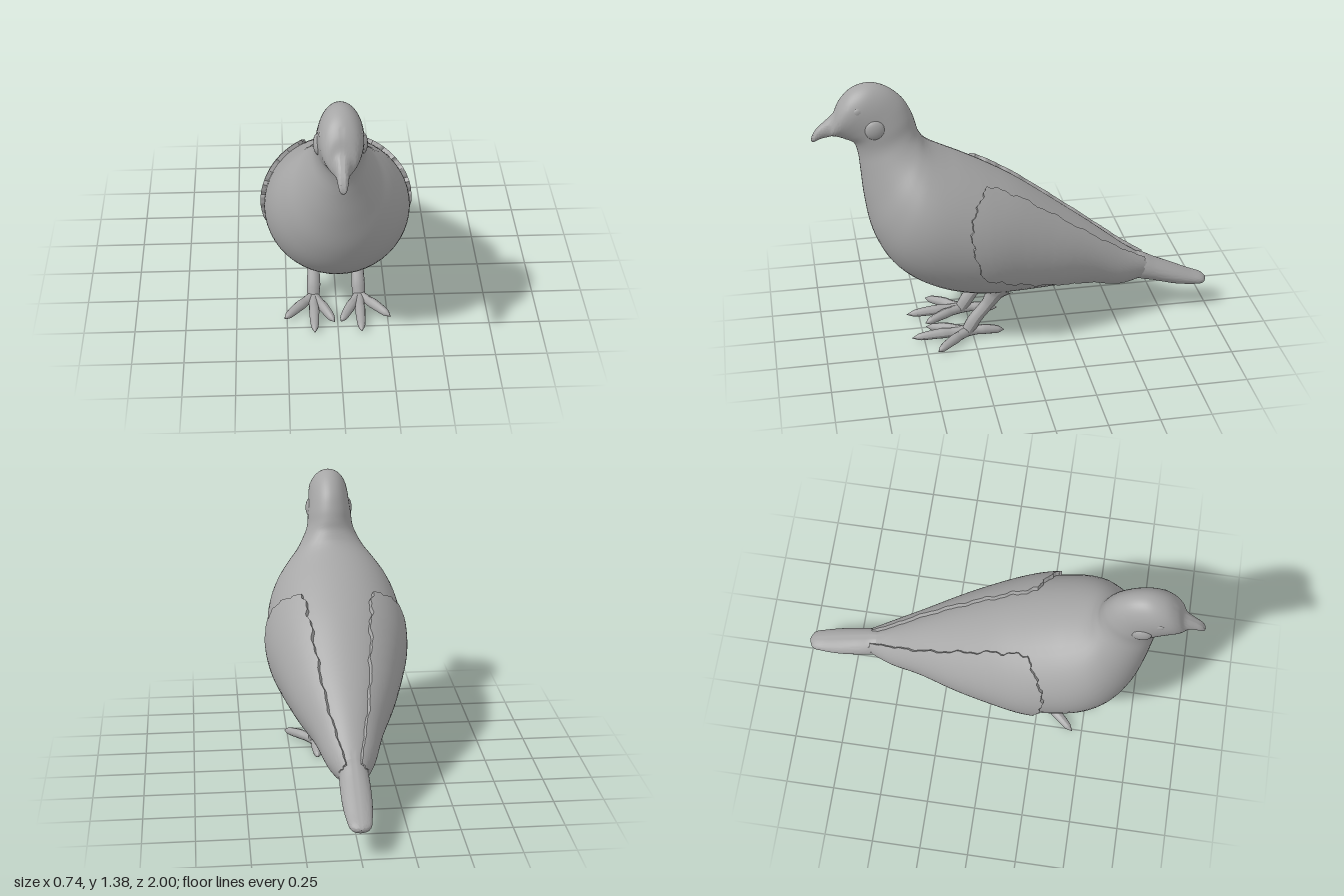
import * as THREE from 'three';
import { toCreasedNormals } from 'three/addons/utils/BufferGeometryUtils.js';

const plumage = new THREE.MeshStandardMaterial({ color: 0xa6a6a6 });
plumage.name = 'plainGrey';

// Stations: [top z, top y, bottom z, bottom y, half width], tail end to beak tip
const BODY = [
  [-0.67, 0.32, -0.65, 0.23, 0.045],
  [-0.55, 0.40, -0.52, 0.21, 0.10],
  [-0.40, 0.52, -0.35, 0.235, 0.155],
  [-0.20, 0.67, -0.15, 0.235, 0.235],
  [0.00, 0.815, 0.05, 0.235, 0.30],
  [0.15, 0.905, 0.22, 0.245, 0.34],
  [0.27, 0.97, 0.40, 0.29, 0.35],
  [0.36, 1.015, 0.55, 0.37, 0.34],
  [0.42, 1.05, 0.66, 0.48, 0.307],
  [0.455, 1.08, 0.73, 0.63, 0.252],
  [0.475, 1.11, 0.76, 0.80, 0.19],
  [0.49, 1.14, 0.772, 0.95, 0.145],
  [0.50, 1.18, 0.78, 1.04, 0.12],
  [0.52, 1.24, 0.80, 1.10, 0.113],
  [0.56, 1.31, 0.845, 1.125, 0.107],
  [0.63, 1.37, 0.87, 1.135, 0.103],
  [0.71, 1.395, 0.885, 1.14, 0.097],
  [0.79, 1.375, 0.895, 1.14, 0.085],
  [0.85, 1.32, 0.905, 1.14, 0.066],
  [0.885, 1.255, 0.92, 1.135, 0.042],
  [0.93, 1.215, 0.945, 1.13, 0.029],
  [0.97, 1.18, 0.968, 1.122, 0.023],
  [0.993, 1.145, 0.99, 1.112, 0.015],
  [1.0, 1.12, 1.0, 1.12, 0]
];

const TAIL = [
  [-0.52, 0.36, -0.50, 0.24, 0.05],
  [-0.64, 0.345, -0.62, 0.205, 0.068],
  [-0.72, 0.305, -0.71, 0.185, 0.072],
  [-0.82, 0.258, -0.82, 0.155, 0.07],
  [-0.91, 0.215, -0.92, 0.14, 0.06],
  [-0.975, 0.188, -0.98, 0.14, 0.045],
  [-1.0, 0.165, -1.0, 0.165, 0]
];

// Smooth interpolation between stations
function station(list, t) {
  const n = list.length - 1;
  const i = Math.min(Math.floor(t), n - 1);
  const f = t - i;
  const at = k => list[Math.max(0, Math.min(n, k))];
  return list[i].map((b, c) => {
    const a = at(i - 1)[c], d = at(i + 1)[c], e = at(i + 2)[c];
    return b + 0.5 * f * (d - a + f * (2 * a - 5 * b + 4 * d - e + f * (3 * (b - d) + e - a)));
  });
}

// Point on the oval section; angle 0 is the top, PI/2 the +x side
function surface(list, t, angle, lift = 0) {
  const [zt, yt, zb, yb, w] = station(list, t);
  const c = Math.cos(angle) / 2;
  const centre = new THREE.Vector3(0, (yt + yb) / 2, (zt + zb) / 2);
  const out = new THREE.Vector3(Math.max(w, 0) * Math.sin(angle), c * (yt - yb), c * (zt - zb));
  if (lift) out.setLength(out.length() + lift);
  return centre.add(out);
}

// Surface from a grid of points
function grid(rows, cols, point, flip = false) {
  const pos = [], index = [];
  for (let i = 0; i <= rows; i++) {
    for (let j = 0; j <= cols; j++) pos.push(...point(i, j).toArray());
  }
  for (let i = 0; i < rows; i++) {
    for (let j = 0; j < cols; j++) {
      const a = i * (cols + 1) + j, b = a + cols + 1;
      if (flip) index.push(a, a + 1, b, b, a + 1, b + 1);
      else index.push(a, b, a + 1, b, b + 1, a + 1);
    }
  }
  const g = new THREE.BufferGeometry();
  g.setAttribute('position', new THREE.Float32BufferAttribute(pos, 3));
  g.setIndex(index);
  return toCreasedNormals(g, 0.9);
}

function loft(list, reverse) {
  const rows = (list.length - 1) * 5;
  return grid(rows, 48, (i, j) => surface(list, i / 5, (j % 48) / 48 * Math.PI * 2), reverse);
}

// Folded wing: raised patch following the body, with ragged edges
const TOP_EDGE = [0.55, 0.55, 0.62, 0.54, 0.50, 0.50, 0.6];
const LOW_EDGE = [2.6, 2.5, 2.3, 2.14, 2.03, 1.92, 1.8];
const along = (list, t) => {
  const i = Math.min(Math.floor(t), list.length - 2);
  return THREE.MathUtils.lerp(list[i], list[i + 1], t - i);
};
const ragged = x => 0.6 * Math.sin(x) + 0.4 * Math.sin(x * 2.3 + 1);

function wing(side) {
  const rows = 62, cols = 42;
  return grid(rows, cols, (i, j) => {
    const u = THREE.MathUtils.clamp((i - 1) / (rows - 2), 0, 1);
    const v = THREE.MathUtils.clamp((j - 1) / (cols - 2), 0, 1);
    const front = 5.2 + 0.55 * Math.sin(Math.PI * v) + 0.07 * ragged(v * 34);
    const rear = 0.12 + 0.1 * ragged(v * 22);
    const t = THREE.MathUtils.lerp(rear, front, u);
    const a0 = along(TOP_EDGE, t) + 0.035 * ragged(u * 40);
    const a1 = along(LOW_EDGE, t) + 0.04 * ragged(u * 46 + 2);
    const rim = i === 0 || j === 0 || i === rows || j === cols;
    const p = surface(BODY, t, THREE.MathUtils.lerp(a0, a1, v), rim ? -0.012 : 0.02);
    p.x *= side;
    return p;
  }, side < 0);
}

// Tapered limb along a curve with a radius at each point
function limb(points, radii) {
  const curve = new THREE.CatmullRomCurve3(points.map(p => new THREE.Vector3(...p)));
  const seg = 24, sides = 12;
  const g = new THREE.TubeGeometry(curve, seg, 1, sides);
  const pos = g.attributes.position, p = new THREE.Vector3();
  for (let k = 0; k < pos.count; k++) {
    const u = Math.floor(k / (sides + 1)) / seg;
    const c = curve.getPointAt(u);
    const r = along(radii, u * (radii.length - 1));
    p.fromBufferAttribute(pos, k).sub(c).multiplyScalar(r).add(c);
    pos.setXYZ(k, p.x, p.y, p.z);
  }
  g.computeVertexNormals();
  return g;
}

export function createModel() {
  const bird = new THREE.Group();
  bird.name = 'bird';
  const add = (name, geometry, parent = bird) => {
    const mesh = new THREE.Mesh(geometry, plumage);
    mesh.name = name;
    parent.add(mesh);
    return mesh;
  };

  add('bodyHeadAndBeak', loft(BODY, false));
  add('tail', loft(TAIL, true));

  for (const side of [1, -1]) {
    const label = side > 0 ? 'left' : 'right';
    add(label + 'Wing', wing(side));

    // Cheek tuft and eye
    const cheek = add(label + 'Cheek', new THREE.SphereGeometry(1, 20, 14));
    cheek.position.set(side * 0.098, 1.195, 0.70);
    cheek.scale.set(0.024, 0.05, 0.05);
    const eye = add(label + 'Eye', new THREE.SphereGeometry(1, 16, 12));
    eye.position.set(side * 0.088, 1.285, 0.775);
    eye.scale.set(0.011, 0.022, 0.024);

    // Leg with three front toes and one hind toe
    const leg = new THREE.Group();
    leg.name = label + 'Leg';
    bird.add(leg);
    const m = pts => pts.map(([x, y, z]) => [side * x, y, z]);
    add('shank', limb(m([[0.115, 0.31, 0.11], [0.112, 0.20, 0.17], [0.112, 0.11, 0.24], [0.115, 0.035, 0.285]]),
      [0.085, 0.045, 0.032, 0.031, 0.034, 0.03]), leg);
    const toes = {
      middleToe: [0.115, 0.03, 0.565],
      outerToe: [0.265, 0.03, 0.45],
      innerToe: [0.015, 0.028, 0.48],
      hindToe: [0.11, 0.027, 0.09]
    };
    for (const [name, [x, y, z]] of Object.entries(toes)) {
      const mid = [(0.115 + x) / 2, 0.042, (0.28 + z) / 2];
      add(name, limb(m([[0.115, 0.042, 0.28], mid, [x, y, z]]),
        [0.028, 0.025, 0.023, 0.026, 0.024, 0.022, 0.018, 0]), leg);
    }
  }
  return bird;
}
